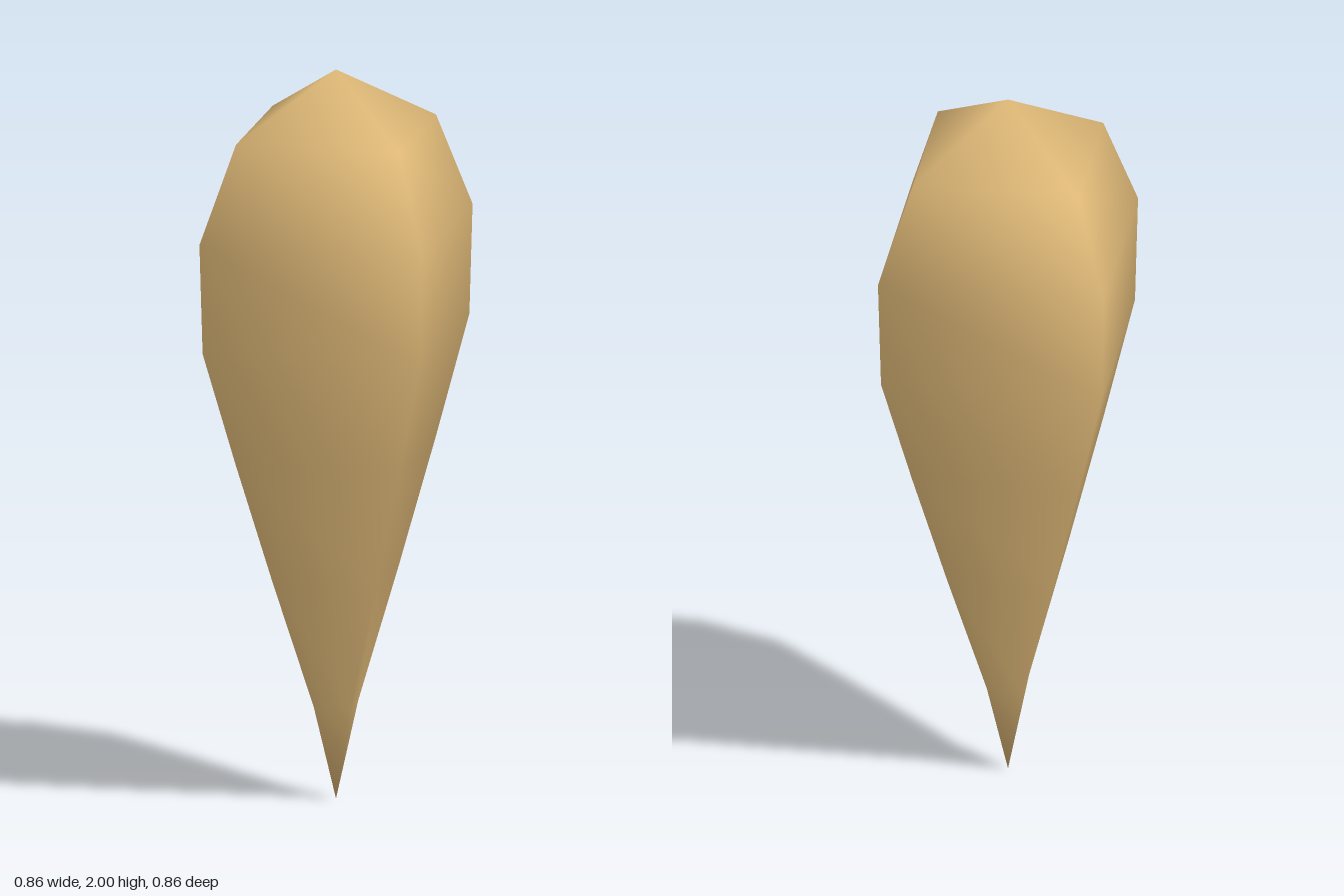
import * as THREE from 'three';
import { mergeVertices } from 'three/addons/utils/BufferGeometryUtils.js';

// Outline from the lower tip to the crown: radius, height
const PROFILE = [
  [0, 0], [0.07, 0.26], [0.2, 0.62], [0.317, 0.96],
  [0.42, 1.275], [0.43, 1.575], [0.315, 1.835], [0, 2],
];

export function createModel() {
  const tan = new THREE.MeshStandardMaterial({ color: 0xdeb877 });
  tan.name = 'tan';

  // Four-sided tapering body, corners on the x and z axes
  const points = PROFILE.map(([r, y]) => new THREE.Vector2(r, y));
  let geometry = new THREE.LatheGeometry(points, 4);

  // Weld the seam and both tips so the shading is smooth all round
  geometry.deleteAttribute('uv');
  geometry.deleteAttribute('normal');
  geometry = mergeVertices(geometry, 1e-4);
  geometry.computeVertexNormals();

  const body = new THREE.Mesh(geometry, tan);
  body.name = 'taperedBody';

  const model = new THREE.Group();
  model.name = 'taperedSpike';
  model.add(body);
  return model;
}
